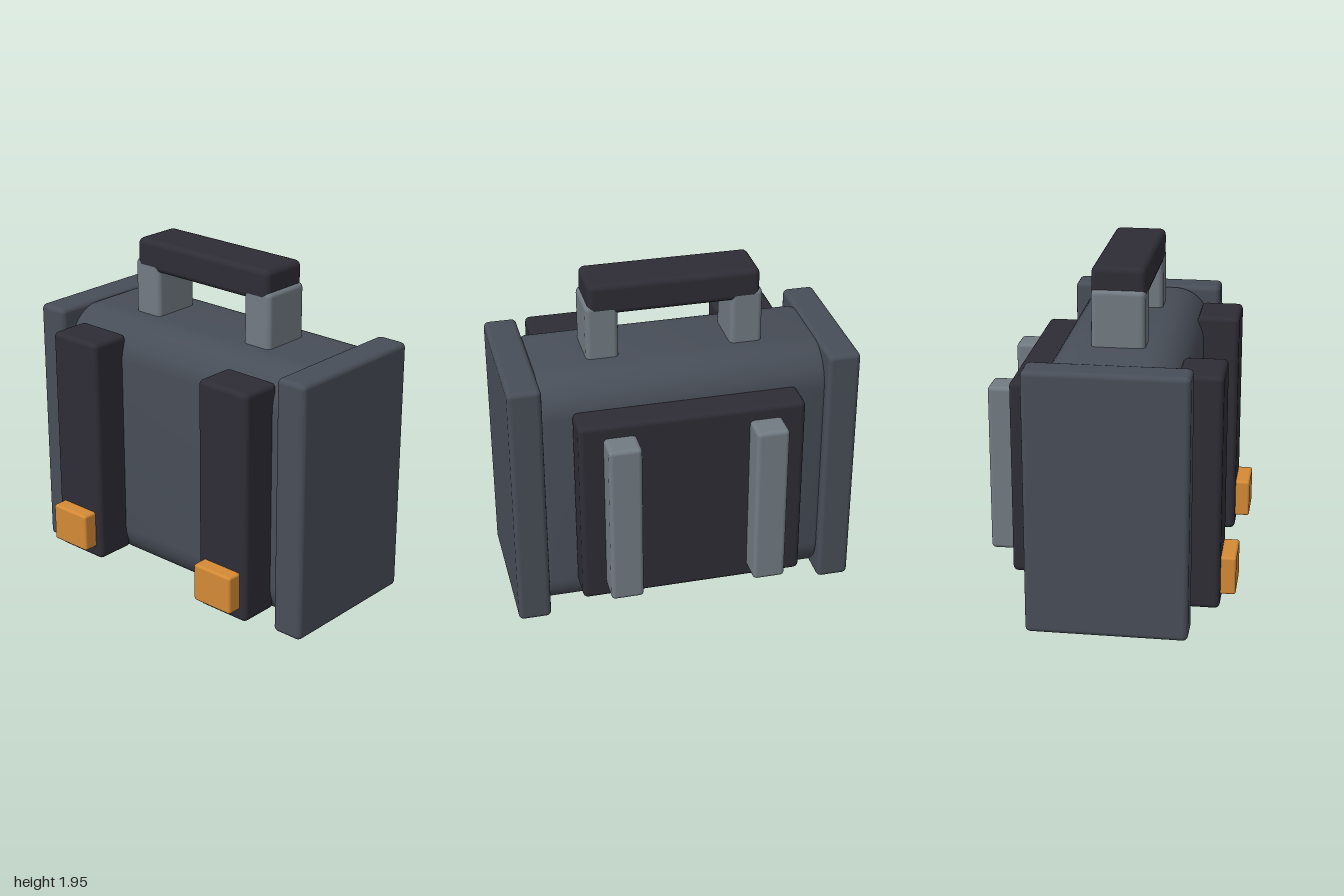
import * as THREE from 'three';
import { RoundedBoxGeometry } from 'three/addons/geometries/RoundedBoxGeometry.js';
import { toCreasedNormals } from 'three/addons/utils/BufferGeometryUtils.js';

function material(name, color) {
  const m = new THREE.MeshStandardMaterial({ color });
  m.name = name;
  return m;
}

export function createModel() {
  const group = new THREE.Group();
  const slate = material('slate', 0x484e58);
  const charcoal = material('charcoal', 0x2e2d36);
  const steel = material('steel', 0x727b83);
  const amber = material('amber', 0xd48a36);

  // Rounded block given by its extents on each axis
  function block(name, mat, [x0, x1], [y0, y1], [z0, z1], radius = 0.03) {
    const mesh = new THREE.Mesh(new RoundedBoxGeometry(x1 - x0, y1 - y0, z1 - z0, 2, radius), mat);
    mesh.position.set((x0 + x1) / 2, (y0 + y1) / 2, (z0 + z1) / 2);
    mesh.name = name;
    group.add(mesh);
  }

  // Same block on both sides of the model
  function pair(name, mat, [x0, x1], y, z, radius) {
    block('left' + name, mat, [x0, x1], y, z, radius);
    block('right' + name, mat, [-x1, -x0], y, z, radius);
  }

  // Case body: rounded profile in z and y, extruded along x with bevelled ends
  const bevel = 0.03, z0 = -0.375 + bevel, z1 = 0.415 - bevel;
  const y0 = 0.005 + bevel, y1 = 1.505 - bevel, r = 0.19;
  const profile = new THREE.Shape();
  profile.absarc(z1 - r, y0 + r, r, -Math.PI / 2, 0);
  profile.absarc(z1 - r, y1 - r, r, 0, Math.PI / 2);
  profile.absarc(z0 + r, y1 - r, r, Math.PI / 2, Math.PI);
  profile.absarc(z0 + r, y0 + r, r, Math.PI, Math.PI * 1.5);
  const length = 1.64 - 2 * bevel;
  const bodyGeometry = new THREE.ExtrudeGeometry(profile, {
    depth: length, curveSegments: 8,
    bevelEnabled: true, bevelSize: bevel, bevelThickness: bevel, bevelSegments: 2,
  });
  bodyGeometry.translate(0, 0, -length / 2).rotateY(-Math.PI / 2);
  const body = new THREE.Mesh(toCreasedNormals(bodyGeometry, 0.6), slate);
  body.name = 'caseBody';
  group.add(body);

  // End panels
  pair('EndPanel', slate, [0.81, 1], [0, 1.51], [-0.425, 0.475]);

  // Front straps and buckles
  pair('Strap', charcoal, [0.39, 0.738], [0.08, 1.437], [0.375, 0.625]);
  pair('Buckle', amber, [0.432, 0.697], [0.155, 0.38], [0.605, 0.71], 0.015);

  // Carrying handle
  pair('HandlePost', steel, [0.32, 0.507], [1.45, 1.825], [-0.125, 0.175]);
  block('handleGrip', charcoal, [-0.49, 0.49], [1.765, 1.95], [-0.125, 0.175], 0.035);

  // Back plate and its rails
  block('backPlate', charcoal, [-0.642, 0.642], [0.195, 1.325], [-0.56, -0.36]);
  pair('BackRail', steel, [0.32, 0.507], [0.27, 1.247], [-0.71, -0.53], 0.025);

  return group;
}
